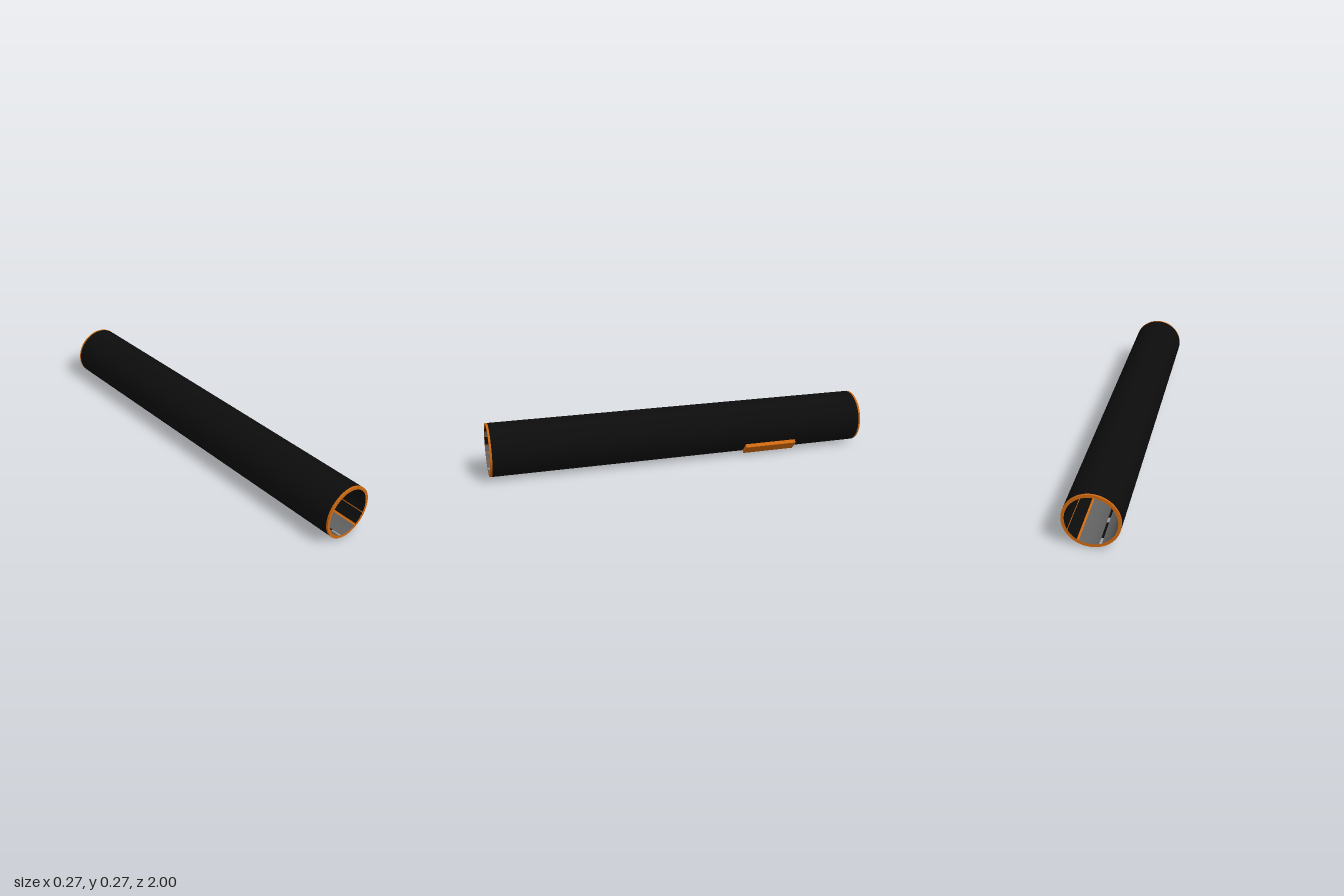
import * as THREE from 'three';

export function createModel() {
  const model = new THREE.Group();
  const black = new THREE.MeshStandardMaterial({ color: 0x0c0c0c, name: 'black' });
  const orange = new THREE.MeshStandardMaterial({ color: 0xcc680f, name: 'orange' });
  const gray = new THREE.MeshStandardMaterial({ color: 0x606060, name: 'gray' });
  const rad = THREE.MathUtils.degToRad;
  const R = 0.135, INNER = 0.12, CY = 0.139;

  const add = (name, geometry, material, y = CY) => {
    const mesh = new THREE.Mesh(geometry, material);
    mesh.name = name;
    mesh.position.y = y;
    model.add(mesh);
    return mesh;
  };

  // Part of a cylinder wall along z; angles in degrees from +x towards +y.
  const wall = (radius, length, from, to, inward = false) => {
    const sides = Math.max(2, Math.round((to - from) / 5));
    const g = new THREE.CylinderGeometry(radius, radius, length, sides, 1, true,
      rad(from + 90), rad(to - from));
    g.rotateX(Math.PI / 2);
    if (inward) {
      g.index.array.reverse();
      const n = g.attributes.normal.array;
      for (let i = 0; i < n.length; i++) n[i] = -n[i];
    }
    return g;
  };

  // Outer skin
  add('outerSkin', wall(R, 1.98, 0, 360), black);

  // End rims: flat ring plus a narrow band
  for (const s of [1, -1]) {
    const ring = new THREE.RingGeometry(INNER, R, 72);
    if (s < 0) ring.rotateY(Math.PI);
    add('endRing', ring, orange).position.z = s;
    add('endBand', wall(R, 0.01, 0, 360), orange).position.z = s * 0.995;
  }

  // Inner lining in lengthwise strips, with a narrow open slit near the bottom
  const strips = [
    [-57, -28, black], [-28, -26, orange], [-26, 146, black], [146, 148, orange],
    [148, 165, gray], [165, 185, black], [185, 204, gray], [204, 206, orange],
    [206, 247, gray], [253, 298, gray], [298, 303, orange],
  ];
  for (const [from, to, material] of strips) {
    add('innerLining', wall(INNER, 2, from, to, true), material);
  }

  // Mounting block on the lower left side
  const block = add('mountingBlock', new THREE.BoxGeometry(0.02, 0.064, 0.285), orange);
  block.rotation.z = rad(-45);
  block.position.set(0.141 * Math.SQRT1_2, CY - 0.141 * Math.SQRT1_2, -0.4775);

  // Row of flat plates set into the underside
  const a = rad(255);
  for (let i = 0; i < 12; i++) {
    const plate = add('undersidePlate', new THREE.BoxGeometry(0.008, 0.066, 0.11), black);
    plate.rotation.z = a;
    plate.position.set(0.1305 * Math.cos(a), CY + 0.1305 * Math.sin(a), -0.88 + i * 0.16);
  }
  return model;
}
